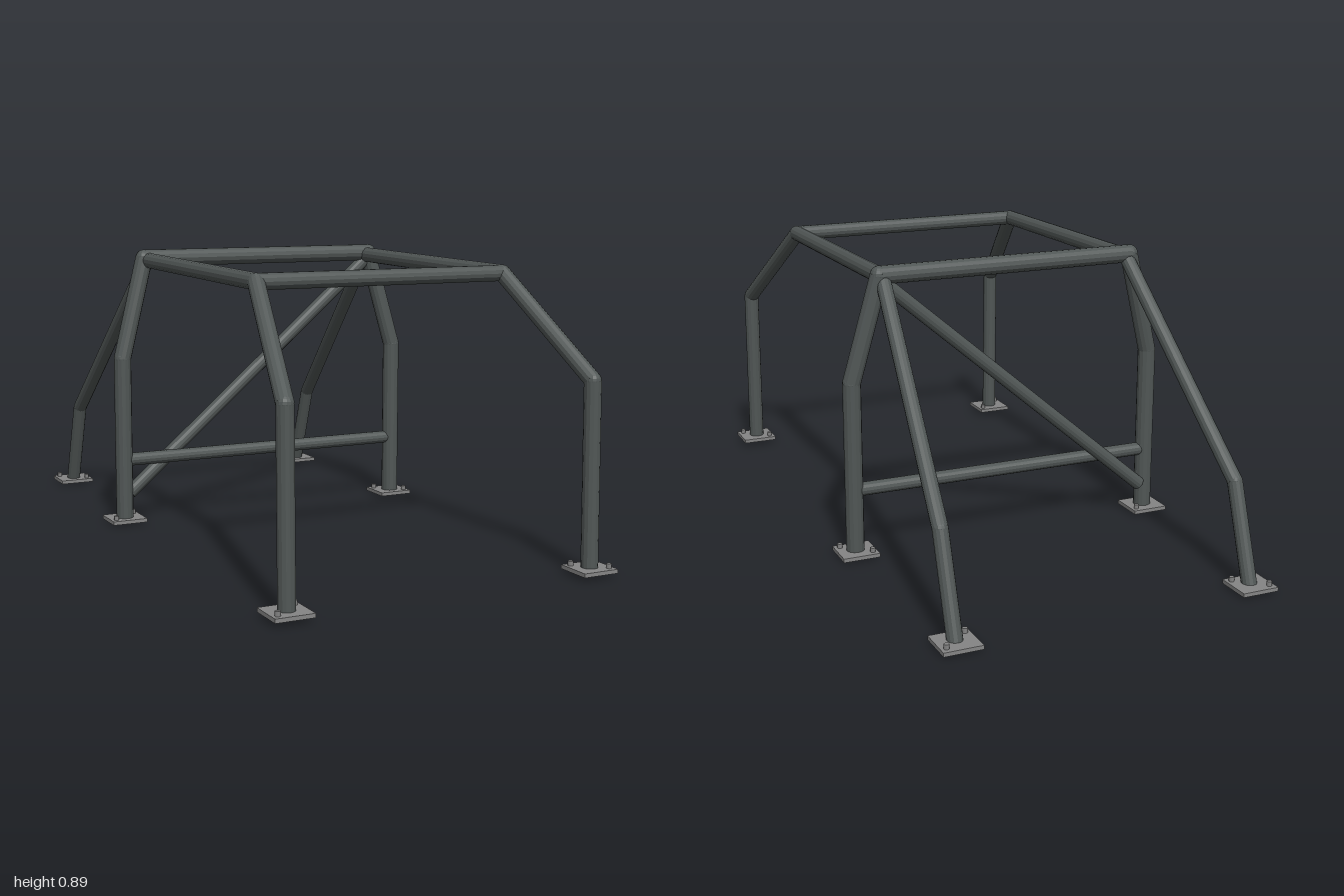
import * as THREE from 'three';

const tubeMat = new THREE.MeshStandardMaterial({ color: 0x505655 });
tubeMat.name = 'dark steel tube';
tubeMat.flatShading = true;
const plateMat = new THREE.MeshStandardMaterial({ color: 0x858585 });
plateMat.name = 'grey plate';

const UP = new THREE.Vector3(0, 1, 0);

// Straight tubes between points, with rounded elbows at the inner bends
function tube(name, radius, points) {
  const group = new THREE.Group();
  group.name = name;
  const pts = points.map((p) => new THREE.Vector3(...p));
  for (let i = 0; i < pts.length - 1; i++) {
    const dir = pts[i + 1].clone().sub(pts[i]);
    const mesh = new THREE.Mesh(new THREE.CylinderGeometry(radius, radius, dir.length(), 14), tubeMat);
    mesh.name = name + 'Section';
    mesh.position.copy(pts[i]).addScaledVector(dir, 0.5);
    mesh.quaternion.setFromUnitVectors(UP, dir.normalize());
    group.add(mesh);
    if (i > 0) {
      const elbow = new THREE.Mesh(new THREE.SphereGeometry(radius, 14, 10), tubeMat);
      elbow.name = name + 'Elbow';
      elbow.position.copy(pts[i]);
      group.add(elbow);
    }
  }
  return group;
}

// Square mounting plate with two bolts on opposite corners
function footPlate(name, x, y, z, diagonal) {
  const group = new THREE.Group();
  group.name = name;
  group.position.set(x, y, z);
  const plate = new THREE.Mesh(new THREE.BoxGeometry(0.116, 0.012, 0.112), plateMat);
  plate.name = name + 'Base';
  group.add(plate);
  for (const s of [-1, 1]) {
    const bolt = new THREE.Mesh(new THREE.CylinderGeometry(0.008, 0.008, 0.016, 6), plateMat);
    bolt.name = name + 'Bolt';
    bolt.position.set(s * 0.041, 0.012, s * diagonal * 0.035);
    group.add(bolt);
  }
  return group;
}

export function createModel() {
  const model = new THREE.Group();
  model.name = 'rollCage';

  // Main hoop behind the seats
  const half = [[0.5, 0.01, -0.25], [0.5, 0.545, -0.249], [0.414, 0.867, -0.268]];
  const other = half.map(([x, y, z]) => [-x, y, z]).reverse();
  model.add(tube('mainHoop', 0.028, [...half, ...other]));

  // Bars across the cage
  model.add(tube('frontCrossBar', 0.024, [[-0.402, 0.847, 0.588], [0.402, 0.847, 0.588]]));
  model.add(tube('harnessBar', 0.021, [[-0.49, 0.21, -0.25], [0.49, 0.21, -0.25]]));
  model.add(tube('diagonalBrace', 0.022, [[-0.475, 0.095, -0.268], [0.41, 0.85, -0.268]]));

  for (const s of [-1, 1]) {
    const side = s > 0 ? 'left' : 'right';
    // Front leg running into the roof rail
    model.add(tube(side + 'FrontLegAndRail', 0.025, [
      [s * 0.48, 0.02, 0.944], [s * 0.48, 0.564, 0.935],
      [s * 0.402, 0.847, 0.588], [s * 0.402, 0.86, -0.268],
    ]));
    // Rear stay
    model.add(tube(side + 'RearStay', 0.023, [
      [s * 0.404, 0.858, -0.268], [s * 0.461, 0.297, -0.84], [s * 0.461, 0.009, -0.94],
    ]));
    // Feet
    model.add(footPlate(side + 'FrontFoot', s * 0.481, 0.02, 0.944, s * s * s));
    model.add(footPlate(side + 'MainFoot', s * 0.499, 0.012, -0.254, s));
    model.add(footPlate(side + 'RearFoot', s * 0.461, 0.012, -0.944, -s));
  }
  return model;
}
